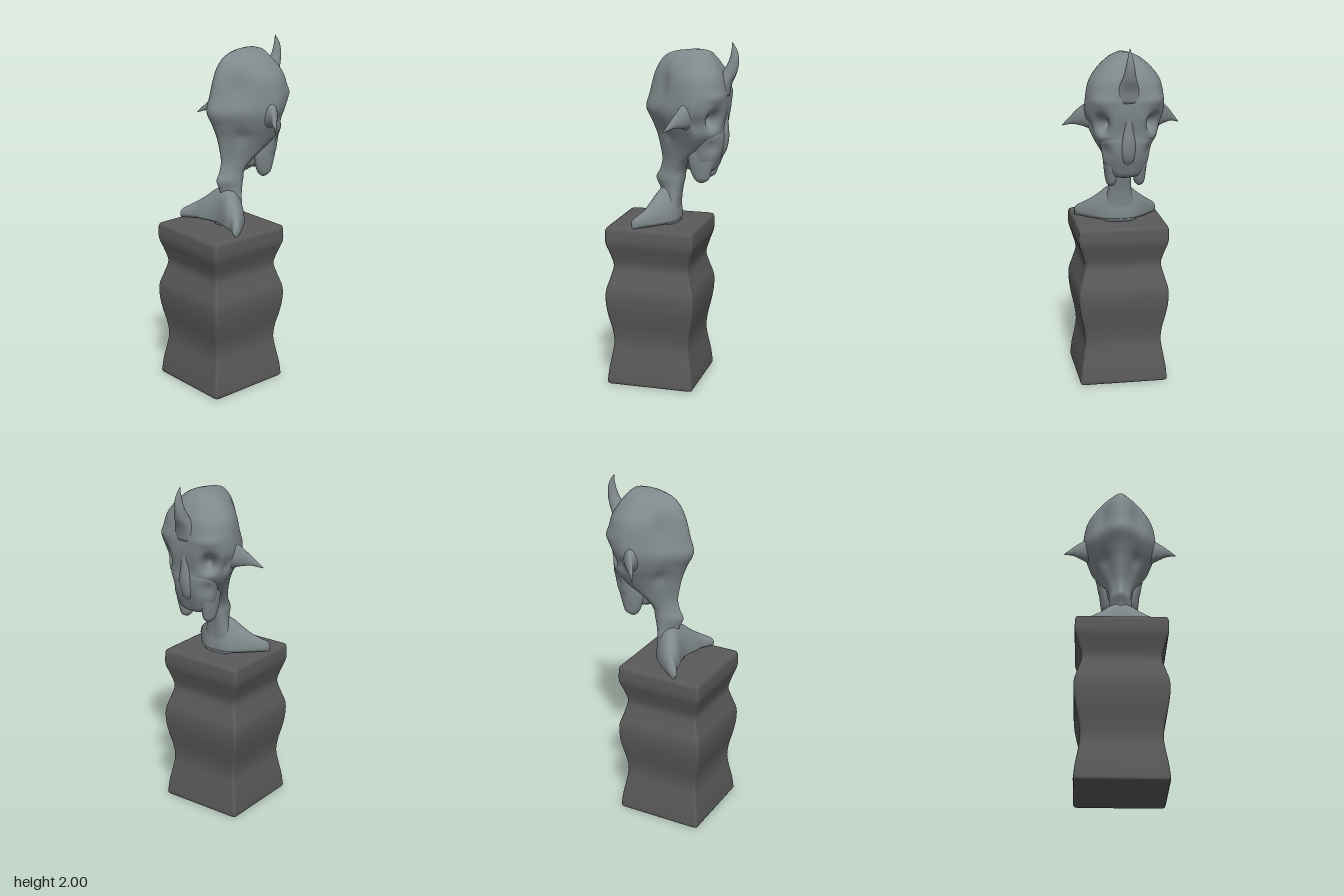
import * as THREE from 'three';

const V = (x, y, z) => new THREE.Vector3(x, y, z);

// Smoothly resample a short table of section parameters into n + 1 rows
function resample(rows, n) {
  const size = rows[0].length;
  const curve = new THREE.CubicInterpolant(
    Float32Array.from(rows, (_, i) => i), Float32Array.from(rows.flat()), size, new Float32Array(size));
  return Array.from({ length: n + 1 }, (_, i) => Array.from(curve.evaluate((i / n) * (rows.length - 1))));
}

// Skin a list of closed rings, capped at both ends, always facing outward
function loft(rings, warp) {
  const m = rings[0].length;
  const points = rings.flat();
  const centre = (ring) => ring.reduce((a, p) => a.add(p), V(0, 0, 0)).divideScalar(m);
  points.push(centre(rings[0]), centre(rings[rings.length - 1]));
  if (warp) points.forEach(warp);
  const index = [];
  for (let i = 0; i < rings.length - 1; i++) {
    for (let j = 0; j < m; j++) {
      const a = i * m + j, b = i * m + (j + 1) % m;
      index.push(a, b, b + m, a, b + m, a + m);
    }
  }
  const last = (rings.length - 1) * m;
  for (let j = 0; j < m; j++) {
    const k = (j + 1) % m;
    index.push(k, j, points.length - 2, last + j, last + k, points.length - 1);
  }
  let volume = 0;
  for (let i = 0; i < index.length; i += 3) {
    volume += points[index[i]].dot(V(0, 0, 0).crossVectors(points[index[i + 1]], points[index[i + 2]]));
  }
  if (volume < 0) index.reverse();
  const geometry = new THREE.BufferGeometry().setFromPoints(points);
  geometry.setIndex(index);
  geometry.computeVertexNormals();
  return geometry;
}

// Outline of the head seen from above: pointed at +z, broad and flat at -z
const half = [[0.2, 0.04], [0.47, 0.17], [0.8, 0.37], [1, 0.66], [0.85, 0.87], [0.5, 0.985]];
const plan = new THREE.CatmullRomCurve3([
  V(0, 0, 0), ...half.map(([x, z]) => V(x, 0, z)), V(0, 0, 1),
  ...half.slice().reverse().map(([x, z]) => V(-x, 0, z)),
], true).getPoints(96).slice(0, -1);
const planRing = ([y, w, back, front]) => plan.map((p) => V(p.x * w, y, back + (front - back) * p.z));

// Ellipse lying flat (for y paths) or standing across x (for x paths)
const circle = Array.from({ length: 28 }, (_, i) => (i / 28) * Math.PI * 2);
const flatRing = ([x, y, z, rx, rz]) => circle.map((a) => V(x + rx * Math.cos(a), y, z + rz * Math.sin(a)));
const sideRing = ([x, y, z, ry, rz]) => circle.map((a) => V(x, y + ry * Math.cos(a), z + rz * Math.sin(a)));

// Dents and bumps, mirrored in x: centre, radii, depth toward the skull's axis
const dents = [
  [0.155, 1.58, -0.265, 0.045, 0.058, 0.06, 0.085], // eye socket
  [0.12, 1.77, 0.06, 0.08, 0.1, 0.09, 0.018], // flank of the crest
  [0.2, 1.56, -0.17, 0.05, 0.06, 0.035, 0.02], // temple
  [0.13, 1.43, -0.25, 0.05, 0.06, 0.06, 0.022], // cheek
  [0.15, 1.71, -0.27, 0.1, 0.035, 0.08, -0.012], // brow
  [0.1, 1.48, 0.03, 0.05, 0.06, 0.06, 0.012], // under the skull
];
function sculpt(p) {
  const side = p.x < 0 ? -1 : 1;
  let push = 0;
  for (const [x, y, z, rx, ry, rz, depth] of dents) {
    const d = ((p.x * side - x) / rx) ** 2 + ((p.y - y) / ry) ** 2 + ((p.z - z) / rz) ** 2;
    push += depth * Math.exp(-d * 1.4);
  }
  p.add(V(-p.x, 0, -0.06 - p.z).normalize().multiplyScalar(push));
}

export function createModel() {
  const model = new THREE.Group();
  const stone = new THREE.MeshStandardMaterial({ color: 0x7f888b });
  stone.name = 'blueGreyClay';
  const dark = new THREE.MeshStandardMaterial({ color: 0x5a5a5a });
  dark.name = 'darkGreyPlinth';
  const add = (name, geometry, material = stone) => {
    const mesh = new THREE.Mesh(geometry, material);
    mesh.name = name;
    model.add(mesh);
  };

  // Wavy square plinth: height, half width
  const waves = resample([[0.012, 0.258], [0.09, 0.25], [0.17, 0.236], [0.25, 0.225], [0.33, 0.232], [0.41, 0.249],
    [0.49, 0.261], [0.57, 0.261], [0.65, 0.239], [0.72, 0.223], [0.79, 0.239], [0.86, 0.26], [0.935, 0.26]], 60);
  const profile = [[0, 0.15], [0, 0.246], [0.003, 0.253], ...waves, [0.948, 0.255], [0.953, 0.245], [0.953, 0.15]];
  const square = ([y, w]) => {
    const r = 0.018, ring = [];
    for (let c = 0; c < 4; c++) {
      for (let k = 0; k <= 4; k++) {
        const a = (c + k / 4) * Math.PI / 2, mid = (c + 0.5) * Math.PI / 2;
        ring.push(V(Math.sign(Math.cos(mid)) * (w - r) + r * Math.cos(a), y,
          0.097 + Math.sign(Math.sin(mid)) * (w - r) + r * Math.sin(a)));
      }
    }
    return ring;
  };
  add('plinth', loft(profile.map(square), undefined), dark);

  // Skull flowing into the neck: height, half width, back z, front z
  add('headAndNeck', loft(resample([
    [0.955, 0.1, 0.13, -0.02], [1.05, 0.085, 0.11, -0.02], [1.14, 0.068, 0.096, -0.03], [1.21, 0.066, 0.122, -0.045],
    [1.26, 0.066, 0.1, -0.055], [1.32, 0.085, 0.086, -0.1], [1.4, 0.128, 0.098, -0.21], [1.47, 0.17, 0.115, -0.275],
    [1.54, 0.203, 0.143, -0.285], [1.62, 0.222, 0.18, -0.298], [1.7, 0.221, 0.16, -0.3], [1.8, 0.202, 0.135, -0.285],
    [1.87, 0.155, 0.105, -0.25], [1.92, 0.1, 0.062, -0.215], [1.945, 0.055, 0.0, -0.19], [1.957, 0.01, -0.09, -0.14],
  ], 100).map(planRing), sculpt));

  // Long lower face
  add('lowerFace', loft(resample([
    [1.53, 0.13, -0.1, -0.28], [1.47, 0.15, -0.06, -0.288], [1.4, 0.137, -0.03, -0.28], [1.33, 0.118, -0.03, -0.257],
    [1.28, 0.09, -0.05, -0.235], [1.26, 0.04, -0.09, -0.2],
  ], 30).map(planRing), sculpt));

  // Nose ridge
  add('nose', loft(resample([
    [0, 1.64, -0.285, 0.015, 0.012], [0, 1.55, -0.282, 0.026, 0.02], [0, 1.46, -0.28, 0.04, 0.026],
    [0, 1.38, -0.262, 0.036, 0.026], [0, 1.33, -0.24, 0.01, 0.01],
  ], 16).map(flatRing)));

  // Swept shoulders: x, front z, back z, top
  const shoulder = [[0.06, -0.02, 0.145, 1.15], [0.11, 0.01, 0.16, 1.105], [0.16, 0.06, 0.168, 1.065],
    [0.2, 0.11, 0.188, 1.035], [0.23, 0.148, 0.205, 1.012], [0.243, 0.175, 0.2, 0.99]];
  const rows = [...shoulder.slice().reverse().map(([x, ...r]) => [-x, ...r]), [0, -0.025, 0.135, 1.17], ...shoulder];
  add('shoulders', loft(resample(rows, 48).map(([x, front, back, top]) => circle.map((a) => {
    const c = Math.cos(a);
    return V(x, 0.98 + c * (c > 0 ? top - 0.98 : 0.027), (front + back) / 2 + Math.sin(a) * (back - front) / 2);
  }))));

  // Curved horn on the brow
  add('horn', loft(resample([
    [0, 1.7, -0.255, 0.085, 0.05], [0, 1.77, -0.275, 0.06, 0.045], [0, 1.83, -0.305, 0.04, 0.042],
    [0, 1.89, -0.328, 0.027, 0.03], [0, 1.95, -0.333, 0.015, 0.018], [0, 2, -0.32, 0.002, 0.002],
  ], 24).map(flatRing)));

  for (const [s, side] of [[1, 'left'], [-1, 'right']]) {
    const mirror = (row) => [row[0] * s, ...row.slice(1)];
    // Pointed ear
    add(side + 'Ear', loft(resample([
      [0.17, 1.6, -0.11, 0.085, 0.055], [0.215, 1.605, -0.1, 0.066, 0.04], [0.25, 1.595, -0.082, 0.048, 0.026],
      [0.285, 1.575, -0.055, 0.026, 0.016], [0.335, 1.535, -0.016, 0.002, 0.002],
    ], 20).map(mirror).map(sideRing)));
    // Hanging jowl
    add(side + 'Jowl', loft(resample([
      [0.095, 1.42, -0.16, 0.025, 0.06], [0.088, 1.35, -0.165, 0.034, 0.075], [0.082, 1.28, -0.165, 0.034, 0.062],
      [0.08, 1.23, -0.168, 0.027, 0.042], [0.08, 1.21, -0.165, 0.008, 0.015],
    ], 18).map(mirror).map(flatRing)));
  }
  return model;
}
